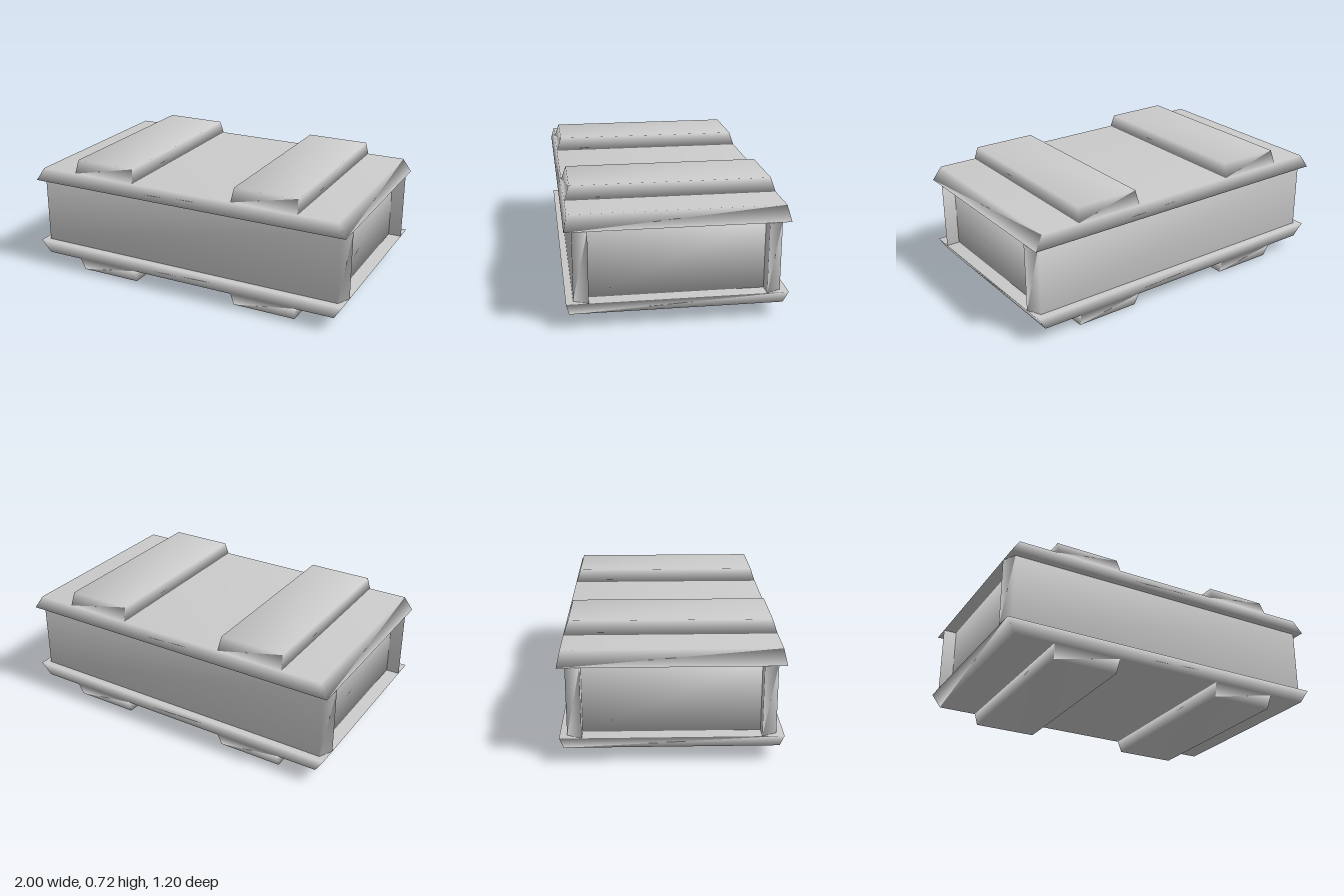
import * as THREE from 'three';

const material = new THREE.MeshStandardMaterial({ color: 0xcccccc });

// Closed solid through stacked convex sections; shared vertices give soft shading.
// Each section is { y, points: [[x, z], ...] }.
function loft(name, sections) {
  const n = sections[0].points.length;
  const positions = [];
  const index = [];
  for (const { y, points } of sections) {
    for (const [x, z] of points) positions.push(x, y, z);
  }
  for (let s = 0; s < sections.length - 1; s++) {
    for (let i = 0; i < n; i++) {
      const a = s * n + i;
      const b = s * n + (i + 1) % n;
      index.push(a, b, b + n, a, b + n, a + n);
    }
  }
  const top = (sections.length - 1) * n;
  for (let i = 1; i < n - 1; i++) {
    index.push(0, i + 1, i);
    index.push(top, top + i, top + i + 1);
  }
  const geometry = new THREE.BufferGeometry();
  geometry.setAttribute('position', new THREE.Float32BufferAttribute(positions, 3));
  geometry.setIndex(index);
  geometry.computeVertexNormals();
  const mesh = new THREE.Mesh(geometry, material);
  mesh.name = name;
  return mesh;
}

// Rectangular section with half width w and half depth d
const rect = (y, w, d) => ({ y, points: [[w, d], [w, -d], [-w, -d], [-w, d]] });

// Bevelled plate carrying two tapered skids, measured from mid height
function createCover(name) {
  const cover = new THREE.Group();
  cover.name = name;
  cover.add(loft('plate', [rect(0.2, 1, 0.6), rect(0.28, 0.95, 0.583)]));
  for (const side of [-1, 1]) {
    const skid = loft('skid', [rect(0.28, 0.2, 0.582), rect(0.36, 0.19, 0.555)]);
    skid.position.x = side * 0.52;
    cover.add(skid);
  }
  return cover;
}

export function createModel() {
  const model = new THREE.Group();
  model.name = 'crate';

  // Core whose ends show as recessed panels
  model.add(loft('core', [rect(-0.2, 0.92, 0.48), rect(0.2, 0.92, 0.48)]));

  // Long walls with slanted ends that overhang the end panels
  const plan = [[1, 0.48], [-1, 0.48], [-0.96, 0.56], [0.96, 0.56]];
  for (const name of ['frontWall', 'backWall']) {
    const wall = loft(name, [{ y: -0.2, points: plan }, { y: 0.2, points: plan }]);
    if (name === 'backWall') wall.rotation.y = Math.PI;
    model.add(wall);
  }

  // Lid and its upside-down twin as the base
  const base = createCover('base');
  base.rotation.x = Math.PI;
  model.add(createCover('lid'), base);

  for (const part of model.children) part.position.y = 0.36;
  return model;
}
